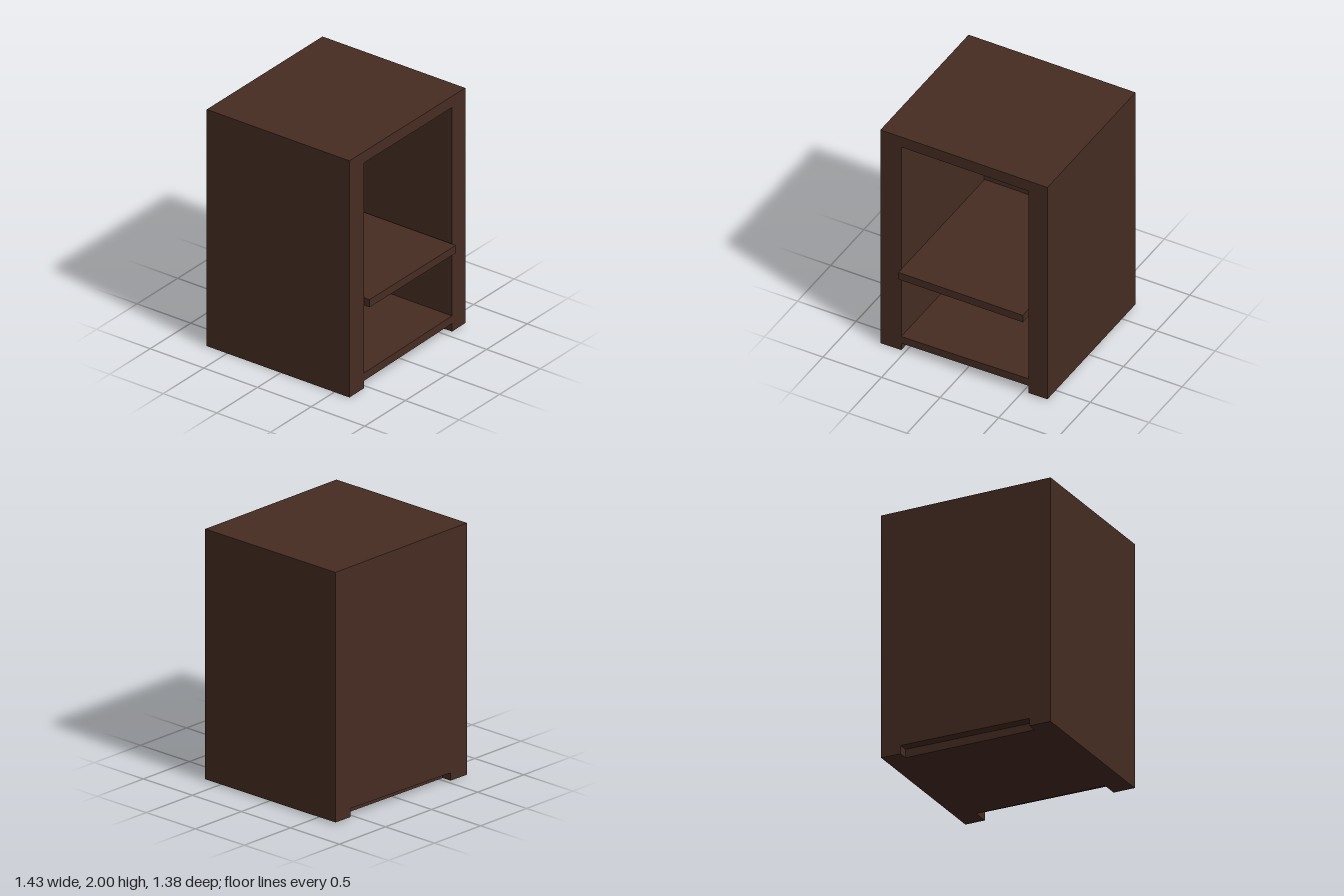
import * as THREE from 'three';

const W = 0.713, LEFT = 0.55, RIGHT = -0.535, TOP = 2;
const FRONT = 0.64, TOE_FRONT = 0.505, TOE_BACK = -0.61, BACK = -0.69;

// The underside and the floor rise slightly towards +x
const base = (x) => 0.0065 + 0.0092 * x;
const railBottom = (x) => 0.0713 + 0.0145 * x;
const floorTop = (x) => 0.136 + 0.0145 * x;

const polygon = (Type, points) => new Type(points.map(([x, y]) => new THREE.Vector2(x, y)));

// Cross-section of the cabinet, optionally with feet and the open compartment
function section(feet, open) {
  const notch = [
    [RIGHT, base(RIGHT)], [RIGHT, railBottom(RIGHT)],
    [LEFT, railBottom(LEFT)], [LEFT, base(LEFT)],
  ];
  const shape = polygon(THREE.Shape, [
    [-W, base(-W)], ...(feet ? notch : []), [W, base(W)], [W, TOP], [-W, TOP],
  ]);
  if (open) {
    shape.holes.push(polygon(THREE.Path, [
      [RIGHT, floorTop(RIGHT)], [RIGHT, 1.905], [LEFT, 1.905], [LEFT, floorTop(LEFT)],
    ]));
  }
  return shape;
}

export function createModel() {
  const group = new THREE.Group();
  group.name = 'cabinet';
  const darkWood = new THREE.MeshStandardMaterial({ color: 0x462c22 });
  darkWood.name = 'darkWood';

  const add = (name, geometry, x, y, z) => {
    const mesh = new THREE.Mesh(geometry, darkWood);
    mesh.name = name;
    mesh.position.set(x, y, z);
    group.add(mesh);
  };
  const slab = (name, shape, zBack, zFront) =>
    add(name, new THREE.ExtrudeGeometry(shape, { depth: zFront - zBack, bevelEnabled: false }), 0, 0, zBack);

  // Front frame with feet, hollow body, and closed back with feet
  slab('frontFrame', section(true, true), TOE_FRONT, FRONT);
  slab('body', section(false, true), TOE_BACK, TOE_FRONT);
  slab('backPanel', section(true, false), BACK, TOE_BACK);

  // Shelf standing slightly proud of the front
  const shelfFront = 0.69;
  add('shelf', new THREE.BoxGeometry(1.062, 0.065, shelfFront - TOE_BACK),
    0, 0.7325, (shelfFront + TOE_BACK) / 2);

  return group;
}
